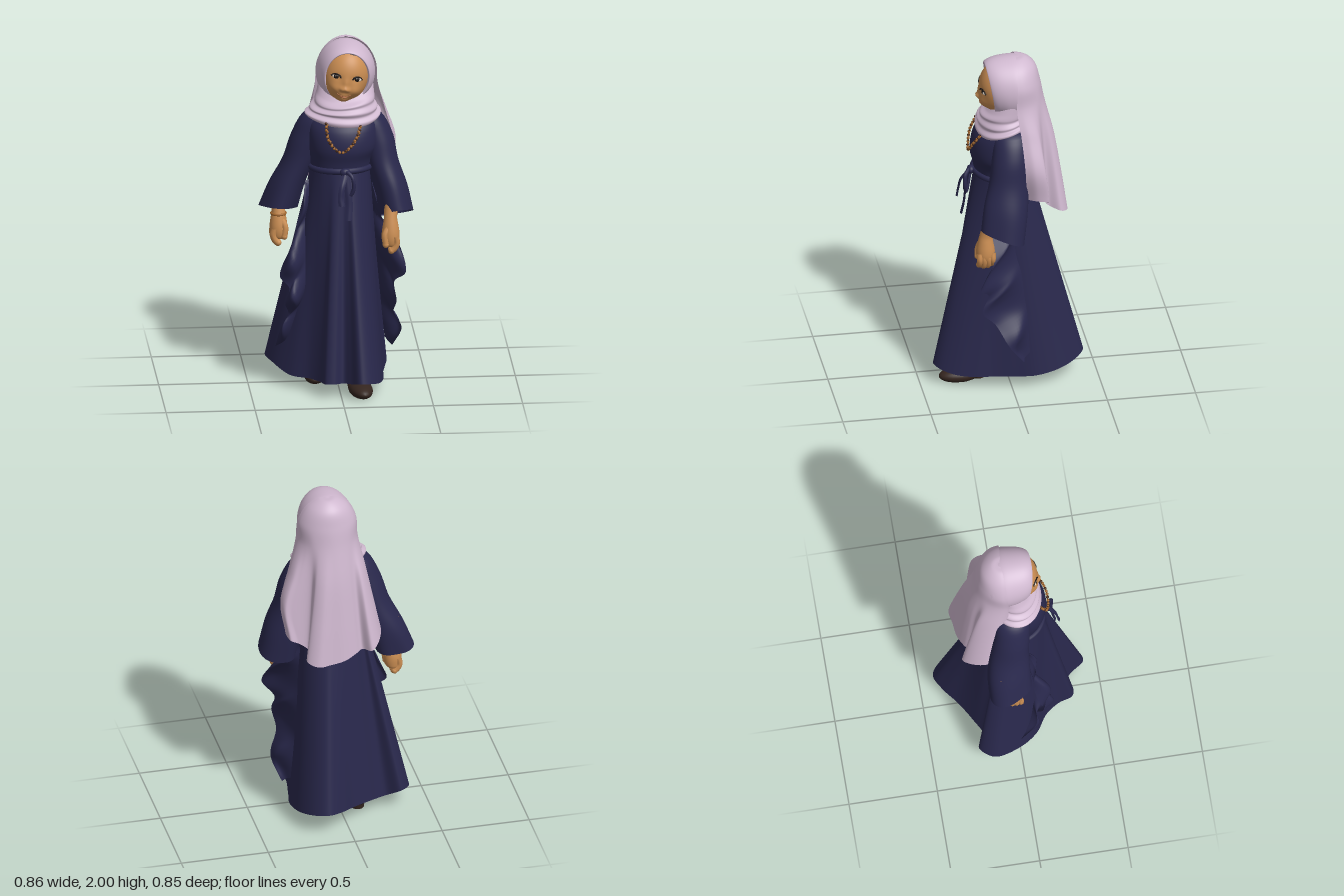
import * as THREE from 'three';

const V = (x, y, z) => new THREE.Vector3(x, y, z);
const mat = (name, color, double) => {
  const m = new THREE.MeshStandardMaterial({ color });
  m.name = name;
  if (double) m.side = THREE.DoubleSide;
  return m;
};
const curve = (pts, closed = false) => new THREE.CatmullRomCurve3(pts.map(p => (p.isVector3 ? p : V(...p))), closed);

// Smooth surface through rows of control points
function skin(rows, nu, nv, closed) {
  const cols = closed ? nu : nu + 1;
  const across = rows.map(r => { const c = curve(r, closed); return Array.from({ length: cols }, (_, i) => c.getPoint(i / nu)); });
  const pos = new Float32Array((nv + 1) * cols * 3), idx = [];
  for (let u = 0; u < cols; u++) {
    const c = curve(across.map(r => r[u]));
    for (let v = 0; v <= nv; v++) c.getPoint(v / nv).toArray(pos, (v * cols + u) * 3);
  }
  for (let v = 0; v < nv; v++) for (let u = 0; u < nu; u++) {
    const u2 = (u + 1) % cols, a = v * cols + u, b = v * cols + u2;
    idx.push(a, b, a + cols, b, b + cols, a + cols);
  }
  const g = new THREE.BufferGeometry();
  g.setAttribute('position', new THREE.BufferAttribute(pos, 3));
  g.setIndex(idx);
  g.computeVertexNormals();
  return g;
}

// Horizontal oval ring; f may move each point by angle
function oval(y, cx, cz, rx, rz, f) {
  return Array.from({ length: 24 }, (_, i) => {
    const a = i / 24 * Math.PI * 2, p = V(cx + rx * Math.cos(a), y, cz + rz * Math.sin(a));
    if (f) f(p, a);
    return p;
  });
}

// Forward relief of the face: [x, y, width, height, depth], mirrored
const relief = [[0, -.048, .021, .016, .019], [0, -.02, .015, .03, .008], [.017, -.053, .012, .011, .007], [.058, -.06, .036, .034, .016],
  [0, -.122, .03, .022, .026], [0, -.088, .036, .022, .014], [.053, .012, .026, .018, -.005]];
const faceBump = (x, y) => relief.reduce((sum, [bx, by, w, h, d]) =>
  sum + d * Math.exp(-(((Math.abs(x) - bx) / w) ** 2) - ((y - by) / h) ** 2), 0);
const faceZ = (x, y) => .12 * Math.sqrt(Math.max(0, 1 - (x / .128) ** 2 - (y / .158) ** 2)) + faceBump(x, y);

export function createModel() {
  const navy = mat('navy cloth', 0x29284c, true), lilac = mat('lilac cloth', 0xcfb8cf, true);
  const skinTone = mat('skin', 0xcb8e53), shoeBrown = mat('shoe brown', 0x34251f);
  const gold = mat('gold', 0xa0662e), darkBead = mat('dark bead', 0x4a2a18);
  const black = mat('black', 0x1a1514), white = mat('eye white', 0xe6d8c8), lip = mat('lip', 0xab683f);
  const root = new THREE.Group();
  const add = (name, geo, m, parent = root) => {
    const mesh = new THREE.Mesh(geo, m);
    mesh.name = name;
    parent.add(mesh);
    return mesh;
  };
  const group = (name, parent = root) => { const g = new THREE.Group(); g.name = name; parent.add(g); return g; };
  const ball = (name, m, parent, p, s, seg = 24) => {
    const b = add(name, new THREE.SphereGeometry(1, seg, Math.ceil(seg * 0.7)), m, parent);
    b.position.set(...p); b.scale.set(...s);
    return b;
  };
  const tube = (name, m, parent, pts, r, closed = false, n = 24) =>
    add(name, new THREE.TubeGeometry(curve(pts, closed), n, r, 8, closed), m, parent);

  // Skirt: oval waist spreading to a lobed hem
  const hem = [[.27, -.02], [.25, .1], [.245, .2], [.215, .32], [.16, .4], [.1, .421], [.05, .35], [.01, .31], [-.04, .34],
    [-.09, .33], [-.115, .25], [-.17, .17], [-.27, .1], [-.36, -.02], [-.392, -.16], [-.33, -.238], [-.25, -.19],
    [-.15, -.24], [-.04, -.31], [.05, -.385], [.13, -.425], [.2, -.385], [.265, -.28], [.29, -.14]];
  add('skirt', skin([0, .2, .45, .7, .9, 1].map(t => hem.map(([x, z]) => {
    const a = Math.atan2(z, x);
    const hy = .07 + (z > 0 ? .04 * (z / .42) ** 4 : .07 * (z / .42) ** 2) + (x < -.3 ? .04 : 0);
    const w = V(.018 + .165 * Math.cos(a), 1.28, .018 + .155 * Math.sin(a));
    return w.lerp(V(x, hy, z), t);
  })), 168, 28, true), navy);

  // Bodice
  add('bodice', skin([[1.66, .04, 0, .07, .06], [1.61, .035, .005, .14, .1], [1.56, .03, .015, .19, .13], [1.5, .03, .025, .2, .158],
    [1.4, .03, .028, .195, .17], [1.33, .02, .022, .175, .16], [1.27, .018, .018, .166, .156]]
    .map(r => oval(...r)), 64, 24, true), navy);

  // Wide sleeves: [y, x, z, rx, rz, front rise, wave]
  const sleeves = {
    left: [[1.605, .13, -.01, .03, .04, 0, 0], [1.568, .17, -.01, .076, .088, 0, 0], [1.45, .22, 0, .092, .105, 0, 0],
      [1.3, .252, .015, .09, .112, .1, 0], [1.15, .293, .035, .098, .122, .25, .05], [.995, .322, .055, .102, .12, .4, .08]],
    right: [[1.605, -.08, -.01, .03, .04, 0, 0], [1.568, -.115, -.012, .076, .088, 0, 0], [1.45, -.165, -.025, .09, .1, 0, 0],
      [1.3, -.212, -.045, .09, .108, .05, 0], [1.15, -.275, -.065, .1, .12, .12, .05], [1.01, -.322, -.07, .106, .12, .2, .1]],
  };
  for (const s of [1, -1]) {
    const right = s < 0, side = right ? 'right' : 'left';
    add(side + 'Sleeve', skin(sleeves[side].map(([y, cx, cz, rx, rz, rise, wave]) => oval(y, cx, cz, rx, rz, (p, a) => {
      const k = 1 - wave * Math.sin(3 * a);
      p.x = cx + (p.x - cx) * k; p.z = cz + (p.z - cz) * k;
      p.y += rise * (p.z - cz) + s * rise * .35 * (p.x - cx);
    })), 56, 24, true), navy);

    // Arm and relaxed hand
    const arm = group(side + 'Arm');
    arm.position.set(right ? -.325 : .288, .9, right ? -.04 : .155);
    add('forearmAndPalm', skin([[.3, s * -.02, -.06, .04, .04], [.18, s * .005, -.03, .041, .041], [.1, 0, -.004, .037, .037],
      [.06, 0, 0, .043, .043], [.01, 0, 0, .05, .052], [-.03, 0, 0, .049, .051], [-.06, 0, -.002, .036, .042], [-.07, 0, -.004, .002, .002]]
      .map(r => oval(...r)), 28, 24, true), skinTone, arm);
    for (let i = 0; i < 4; i++) {
      const z = .036 - i * .024, low = [-.083, -.092, -.09, -.078][i];
      tube('finger', skinTone, arm, [[s * .026, .0, z], [s * .032, -.04, z], [s * .02, low + .015, z], [s * .004, low, z]], .018, false, 12);
      ball('fingertip', skinTone, arm, [s * .004, low, z], [.018, .018, .018], 12);
    }
    tube('thumb', skinTone, arm, [[s * -.015, .05, .022], [s * -.034, .01, .036], [s * -.03, -.045, .04]], .018, false, 10);
    ball('thumbTip', skinTone, arm, [s * -.03, -.045, .04], [.018, .02, .018], 12);
    if (right) {
      const band = add('bracelet', new THREE.TorusGeometry(.04, .007, 8, 28), gold, arm);
      band.rotation.x = Math.PI / 2; band.position.y = .08;
    }
  }

  // Waterfall panels hanging at both sides
  const panels = {
    leftPanel: [[[.17, 1.2, -.02], [.2, .9, -.04], [.235, .6, -.08], [.275, .22, -.1]],
      [[.19, 1.18, .06], [.25, .97, .13], [.33, .85, .11], [.37, .69, .195], [.31, .62, .14], [.32, .52, .175], [.31, .43, .1], [.36, .31, .03], [.315, .18, -.06]], .01],
    rightPanel: [[[-.14, 1.2, .02], [-.17, .9, .06], [-.18, .6, .1], [-.27, .28, .05]],
      [[-.17, 1.18, .05], [-.23, .97, .1], [-.26, .83, .08], [-.33, .66, .12], [-.28, .6, .15], [-.3, .5, .13], [-.28, .43, .1], [-.32, .35, .09], [-.345, .21, 0]], .06],
  };
  for (const [name, [inner, outer, bulge]] of Object.entries(panels)) {
    const ci = curve(inner), co = curve(outer);
    add(name, skin(Array.from({ length: 25 }, (_, i) => {
      const a = ci.getPoint(i / 24), b = co.getPoint(i / 24);
      const mid = a.clone().lerp(b, .55);
      mid.z += bulge * Math.sin(Math.PI * i / 24) + .03 * Math.sin(i * .9);
      mid.x += Math.sign(mid.x) * (.012 + .015 * Math.cos(i * .9));
      return [a, mid, b];
    }), 12, 72, false), navy);
  }

  // Belt with knot, loop and hanging tails
  const belt = group('belt');
  tube('beltBand', navy, belt, oval(1.272, .018, .02, .166, .157, (p, a) => { p.y += .012 * Math.sin(a); }), .018, true, 80);
  ball('knot', navy, belt, [.03, 1.285, .195], [.03, .024, .022]);
  const tail = (pts, w) => add('tail', skin(pts.map(([x, y, z]) => [V(x - w, y, z), V(x, y, z + .008), V(x + w, y, z)]), 6, 20, false), navy, belt);
  tail([[.035, 1.28, .205], [.045, 1.18, .225], [.05, 1.1, .235], [.045, 1.02, .25]], .02);
  tail([[.03, 1.28, .205], [.01, 1.22, .245], [.0, 1.15, .26], [.005, 1.11, .268]], .017);
  tube('loop', navy, belt, [[.03, 1.29, .2], [.065, 1.27, .23], [.075, 1.2, .235], [.055, 1.16, .225], [.04, 1.22, .21]], .011, true);

  // Necklace of alternating beads
  const necklace = group('necklace');
  const strand = curve([[-.07, 1.56, .15], [-.065, 1.49, .183], [-.03, 1.43, .2], [.012, 1.405, .208], [.055, 1.43, .207], [.1, 1.49, .187], [.125, 1.56, .14]]);
  strand.getSpacedPoints(44).forEach((p, i) => {
    const r = i % 2 ? .0065 : .0085;
    ball('bead', i % 3 ? gold : darkBead, necklace, [p.x + (i % 2 ? .003 : -.003), p.y, p.z], [r, r, r], 10);
  });

  // Head with sculpted face
  const head = group('head');
  head.position.set(.047, 1.81, .032);
  head.rotation.set(.03, -.05, -.17);
  const skull = new THREE.SphereGeometry(1, 112, 88).scale(.128, .158, .12);
  const sp = skull.attributes.position;
  for (let i = 0; i < sp.count; i++) {
    const x = sp.getX(i), y = sp.getY(i), z = sp.getZ(i);
    sp.setZ(i, z + faceBump(x, y) * THREE.MathUtils.smoothstep(z, 0, .05));
  }
  skull.computeVertexNormals();
  add('face', skull, skinTone, head);

  // Eyes and mouth laid on the face
  const onFace = (pts, lift) => pts.map(([x, y]) => V(x, y, faceZ(x, y) + lift));
  for (const s of [1, -1]) {
    const ex = s * .058, ey = .014, ez = faceZ(ex, ey);
    ball('eyeWhite', white, head, [ex, ey, ez - .005], [.025, .0135, .0115]);
    ball('iris', black, head, [ex - .001, ey, ez + .0005], [.0165, .013, .008], 18);
    ball('eyeGlint', white, head, [ex - .006, ey + .005, ez + .0075], [.0024, .0024, .0014], 8);
    tube('lashes', black, head, onFace([[s * .032, .012], [s * .043, .026], [s * .06, .0295], [s * .077, .024], [s * .088, .012]], .003), .0042);
  }
  tube('mouth', lip, head, onFace([[-.04, -.082], [-.022, -.09], [0, -.0925], [.022, -.09], [.04, -.082]], -.001), .0035);
  ball('lowerLip', lip, head, [0, -.099, faceZ(0, -.099) - .003], [.02, .0055, .007], 16);
  const cap = add('underCap', new THREE.SphereGeometry(1, 40, 12, 0, Math.PI * 2, 0, .52), black, head);
  cap.scale.set(.13, .161, .123);
  cap.rotation.z = -.1;

  // Scarf around the head, open at the face
  const hood = [[.05, .112, .138], [.086, .12, .145], [.094, .125, .151], [.08, .138, .163], [.045, .153, .176], [0, .163, .185], [-.06, .165, .183],
    [-.13, .135, .155], [-.168, .06, .075], [-.175, .002, .002]];
  add('hood', skin(hood.map(([z, rx, ry]) => Array.from({ length: 24 }, (_, i) => {
    const a = -i / 24 * Math.PI * 2, top = Math.sin(a);
    return V(.05 + rx * Math.cos(a), 1.81 + ry * top, z + (z > .03 ? .026 * top : 0));
  })), 72, 40, true), lilac);

  // Folded cowl at the neck, lower at the front than over the shoulders
  const cowl = [[1.78, .05, -.03, .152, .09], [1.7, .047, -.005, .16, .115], [1.665, .042, .01, .168, .134], [1.646, .04, .012, .167, .13],
    [1.622, .035, .015, .19, .146], [1.602, .033, .012, .19, .141], [1.578, .03, .018, .214, .152], [1.558, .03, .015, .211, .143], [1.553, .03, .01, .16, .1]];
  add('cowl', skin(cowl.map((r, k) => oval(...r, (p, a) => {
    p.y += -.024 * Math.sin(a) + .003 * k * Math.cos(a) ** 2 + .009 * Math.sin(2 * a + r[0] * 30);
  })), 72, 48, true), lilac);

  // Long veil falling from the crown down the back
  const hang = [[-.19, 1.22, -.06], [-.225, 1.18, -.17], [-.19, 1.14, -.27], [-.145, 1.11, -.305], [-.1, 1.1, -.255], [-.06, 1.09, -.28],
    [.01, 1.07, -.31], [.09, 1.06, -.32], [.17, 1.06, -.33], [.225, 1.08, -.285], [.2, 1.11, -.215], [.25, 1.15, -.2], [.3, 1.18, -.205], [.315, 1.2, -.14], [.28, 1.2, -.08]];
  const arc = (y, rx, z0, rz) => hang.map((_, i) => {
    const a = Math.PI * (1 + i / (hang.length - 1));
    return V(.055 + rx * Math.cos(a), y, z0 + rz * Math.sin(a));
  });
  const nape = arc(1.74, .176, -.035, .178);
  const fall = t => nape.map((p, i) => {
    const out = t ** .72, [x, y, z] = hang[i];
    const sideFold = i > 10 ? .055 * Math.sin(Math.PI * t ** 1.5) : 0;
    return V(p.x + (x - p.x) * t + sideFold, p.y + (y - p.y) * t, p.z + (z - p.z) * out);
  });
  add('veil', skin([arc(2, .012, -.057, .012), arc(1.995, .052, -.05, .06), arc(1.95, .118, -.044, .118), arc(1.86, .166, -.04, .15),
    nape, fall(.3), fall(.65), fall(1)], 112, 56, false), lilac);

  // Legs and low-heeled shoes
  for (const [side, x, z, turn] of [['left', .11, .25, .12], ['right', -.115, -.045, -.15]]) {
    const foot = group(side + 'Foot');
    foot.position.set(x, 0, z);
    foot.rotation.y = turn;
    const body = new THREE.SphereGeometry(1, 32, 20).scale(.066, .045, .142);
    const p = body.attributes.position;
    for (let i = 0; i < p.count; i++) {
      const lift = Math.max(0, -p.getZ(i)) * .16;
      p.setY(i, Math.max(p.getY(i) + .03, .003) + lift);
    }
    body.computeVertexNormals();
    add('shoe', body, shoeBrown, foot);
    const heel = add('heel', new THREE.CylinderGeometry(.042, .036, .04, 20), shoeBrown, foot);
    heel.position.set(0, .02, -.085);
    ball('instep', skinTone, foot, [0, .068, -.02], [.04, .034, .075]);
    const leg = add('leg', new THREE.CylinderGeometry(.055, .038, .3, 20), skinTone, foot);
    leg.position.set(0, .21, -.06);
  }
  return root;
}
